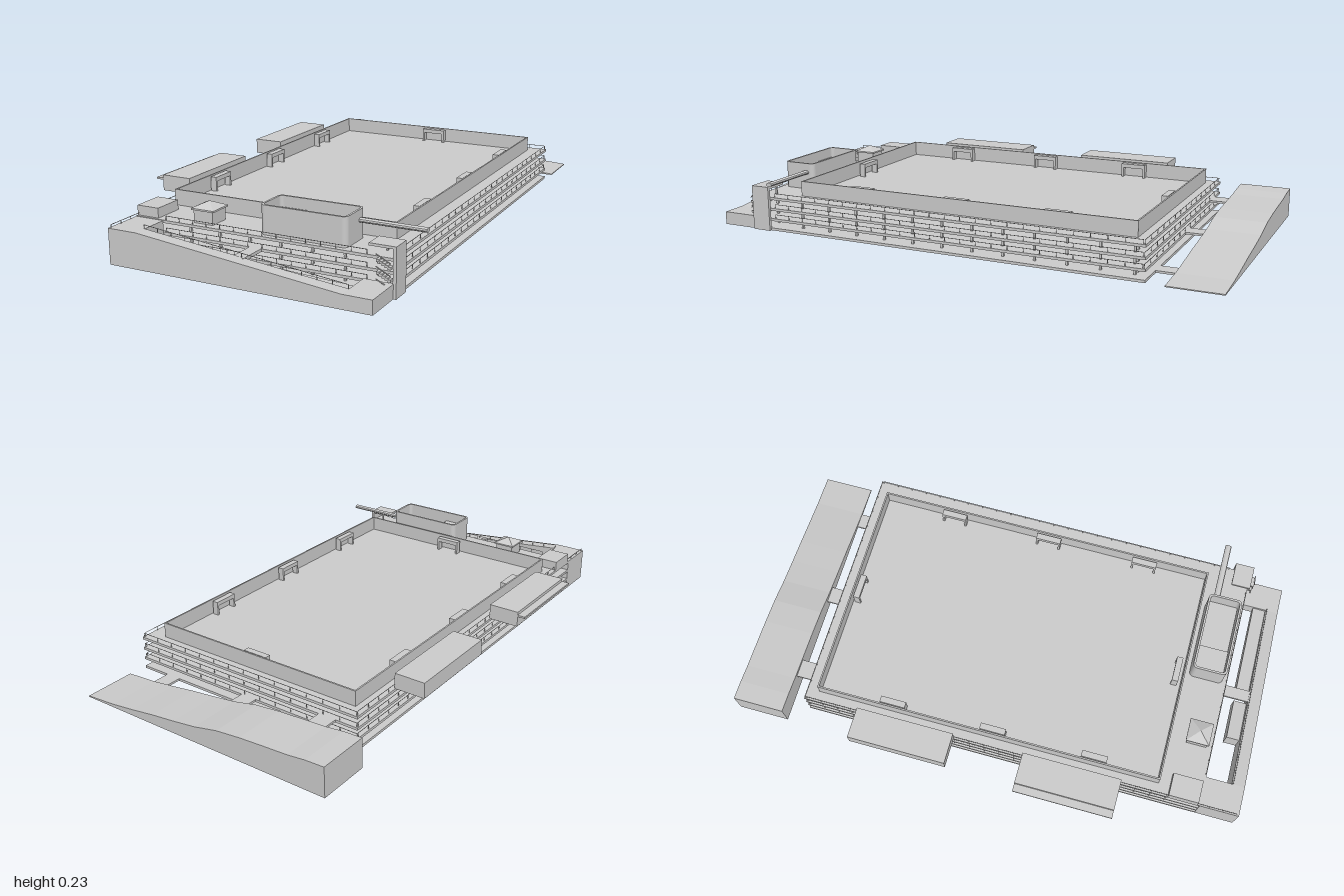
import * as THREE from 'three';

export function createModel() {
  const root = new THREE.Group();
  const mat = new THREE.MeshStandardMaterial({ color: 0xcccccc, flatShading: true, side: THREE.DoubleSide });

  function add(name, geo, parent = root) {
    const m = new THREE.Mesh(geo, mat);
    m.name = name;
    parent.add(m);
    return m;
  }
  // box given by its min and max on each axis
  function box(name, x0, x1, y0, y1, z0, z1, parent) {
    const m = add(name, new THREE.BoxGeometry(x1 - x0, y1 - y0, z1 - z0), parent);
    m.position.set((x0 + x1) / 2, (y0 + y1) / 2, (z0 + z1) / 2);
    return m;
  }
  // solid ground with a height profile along x
  function terrain(name, pts, z0, z1, y0 = 0) {
    const s = new THREE.Shape();
    s.moveTo(pts[0][0], y0);
    pts.forEach(p => s.lineTo(p[0], p[1]));
    s.lineTo(pts[pts.length - 1][0], y0);
    const m = add(name, new THREE.ExtrudeGeometry(s, { depth: z1 - z0, bevelEnabled: false }));
    m.position.z = z0;
    return m;
  }
  function bar(name, a, b, r, parent) {
    const p = new THREE.Vector3(...a), q = new THREE.Vector3(...b);
    const m = add(name, new THREE.CylinderGeometry(r, r, p.distanceTo(q), 5), parent);
    m.position.copy(p).add(q).multiplyScalar(0.5);
    m.quaternion.setFromUnitVectors(new THREE.Vector3(0, 1, 0), q.sub(p).normalize());
  }
  // handrail with evenly spaced posts
  function railing(a, b, n, h = 0.015) {
    const g = new THREE.Group();
    g.name = 'railing';
    root.add(g);
    bar('handrail', [a[0], a[1] + h, a[2]], [b[0], b[1] + h, b[2]], 0.0012, g);
    for (let i = 0; i <= n; i++) {
      const p = a.map((v, k) => v + (b[k] - v) * i / n);
      bar('railPost', p, [p[0], p[1] + h, p[2]], 0.0012, g);
    }
  }

  const X0 = -0.455, X1 = 0.535, Z0 = -0.73, Z1 = 0.85;
  const floors = [0.01, 0.048, 0.089, 0.132];

  // floor slabs and railings
  floors.forEach((y, i) => {
    box('floorSlab', X0, X1, y - 0.01, y, Z0, Z1);
    if (i === 0) return;
    railing([X1 - 0.005, y, Z0 + 0.01], [X1 - 0.005, y, 0.76], 24);
    railing([X0 + 0.005, y, Z0 + 0.01], [X0 + 0.005, y, 0.72], 24);
    railing([X0 + 0.005, y, Z0 + 0.005], [X1 - 0.005, y, Z0 + 0.005], 14);
    railing([-0.33, y, Z1 - 0.004], [0.44, y, Z1 - 0.004], 14);
  });

  // columns around the perimeter
  for (let i = 0; i < 12; i++) {
    const z = -0.68 + i * 0.122;
    for (const x of [-0.41, 0.49]) box('column', x - 0.004, x + 0.004, 0, 0.125, z - 0.004, z + 0.004);
  }
  for (let i = 0; i < 7; i++) {
    const x = -0.26 + i * 0.12;
    for (const z of [-0.68, 0.80]) box('column', x - 0.004, x + 0.004, 0, 0.125, z - 0.004, z + 0.004);
  }

  // walled sports court on the roof
  const court = new THREE.Group();
  court.name = 'courtWalls';
  root.add(court);
  box('sideWall', -0.412, -0.406, 0.13, 0.19, -0.68, 0.68, court);
  box('sideWall', 0.46, 0.466, 0.13, 0.19, -0.68, 0.68, court);
  for (const z of [-0.68, 0.674]) box('endWall', -0.41, 0.464, 0.13, 0.19, z, z + 0.006, court);

  // goals along the court walls
  function goal(x, z, angle) {
    const g = new THREE.Group();
    g.name = 'goal';
    g.position.set(x, 0.13, z);
    g.rotation.y = angle;
    root.add(g);
    box('goalTop', -0.05, 0.05, 0.04, 0.056, -0.012, 0.012, g);
    for (const s of [-0.046, 0.046]) box('goalPost', s - 0.004, s + 0.004, 0, 0.045, -0.012, 0.012, g);
  }
  for (const z of [-0.38, 0.02, 0.42]) {
    goal(-0.39, z, Math.PI / 2);
    goal(0.442, z, Math.PI / 2);
  }
  goal(0.035, -0.655, 0);
  goal(0.035, 0.648, 0);

  // boxes cantilevered off the right side
  box('sideRoom', -0.57, -0.45, 0.13, 0.19, -0.505, -0.12);
  box('sideRoom', -0.57, -0.45, 0.13, 0.19, 0.155, 0.54);
  box('sideCanopy', -0.60, -0.57, 0.171, 0.178, 0.155, 0.54);

  // small roof buildings
  box('cornerRoom', X0, -0.367, 0.13, 0.168, 0.725, 0.84);
  box('pavilionBody', -0.228, -0.152, 0.13, 0.18, 0.747, 0.825);
  box('pavilionEave', -0.235, -0.145, 0.178, 0.184, 0.74, 0.83);
  const roof = add('pavilionRoof', new THREE.ConeGeometry(0.0636, 0.021, 4));
  roof.rotation.y = Math.PI / 4;
  roof.position.set(-0.19, 0.1945, 0.785);

  // open tank with rounded corners
  function rounded(path, w, d, r) {
    path.absarc(w - r, d - r, r, 0, Math.PI / 2);
    path.absarc(r - w, d - r, r, Math.PI / 2, Math.PI);
    path.absarc(r - w, r - d, r, Math.PI, Math.PI * 1.5);
    path.absarc(w - r, r - d, r, Math.PI * 1.5, Math.PI * 2);
    path.closePath();
    return path;
  }
  const rim = rounded(new THREE.Shape(), 0.16, 0.066, 0.018);
  rim.holes.push(rounded(new THREE.Path(), 0.152, 0.058, 0.012));
  const tank = add('tankWall', new THREE.ExtrudeGeometry(rim, { depth: 0.105, bevelEnabled: false, curveSegments: 5 }));
  tank.rotation.x = -Math.PI / 2;
  tank.position.set(0.2, 0.13, 0.765);
  box('tankDeck', 0.05, 0.152, 0.13, 0.195, 0.708, 0.822);
  box('tankFloor', 0.152, 0.35, 0.13, 0.18, 0.708, 0.822);

  // long arm reaching past the left side
  const arm = add('arm', new THREE.CylinderGeometry(0.0125, 0.0125, 0.24, 10));
  arm.rotation.z = Math.PI / 2;
  arm.scale.x = 0.65;
  arm.position.set(0.478, 0.199, 0.732);

  // stair tower at the front left corner
  box('towerWall', 0.533, 0.545, 0, 0.17, 0.78, 0.855);
  box('towerRoof', 0.45, 0.545, 0.164, 0.173, 0.78, 0.855);
  box('towerPost', 0.48, 0.486, 0.13, 0.166, 0.783, 0.789);
  for (let i = 0; i < 3; i++) {
    for (let k = 0; k < 5; k++) {
      const x = 0.483 + k * 0.01, y = 0.13 - i * 0.041 - k * 0.005;
      box('stairStep', x, x + 0.011, y - 0.009, y, 0.852, 0.872);
    }
    bar('stairRail', [0.483, 0.147 - i * 0.041, 0.872], [0.533, 0.122 - i * 0.041, 0.872], 0.002);
  }

  // sloping front ground around the sunken court
  const slope = x => 0.13 - 0.08 * (x + 0.34) / 0.77;
  terrain('frontBank', [[X0, 0.13], [-0.34, 0.13], [0.43, 0.05], [X1, 0.05]], 0.95, 1);
  terrain('frontBankEnd', [[X0, 0.13], [-0.34, 0.13]], Z1, 0.95);
  terrain('frontBankEnd', [[0.43, 0.05], [X1, 0.05]], Z1, 0.95);
  terrain('frontTerrace', [[-0.15, slope(-0.15) - 0.03], [0.01, slope(0.01) - 0.03]], 0.9, 0.95);
  terrain('frontTerrace', [[0.055, slope(0.055) - 0.03], [0.43, slope(0.43) - 0.01]], 0.9, 0.95);
  box('frontBridge', 0.01, 0.055, 0.079, 0.09, Z1, 0.96);
  railing([-0.34, 0.13, 0.953], [0.43, 0.05, 0.953], 14);
  railing([X0 + 0.005, 0.13, 0.73], [X0 + 0.005, 0.13, 0.99], 5, 0.01);

  // undulating rear ground and its bridges
  terrain('rearBank', [[-0.525, 0.115], [-0.45, 0.112], [-0.38, 0.104], [-0.28, 0.099], [-0.18, 0.093],
    [-0.08, 0.083], [0.02, 0.062], [0.12, 0.049], [0.22, 0.038], [0.32, 0.024], [0.42, 0.012], [0.545, 0.004]], -1, -0.8);
  for (const [x0, x1, y] of [[-0.365, -0.295, 0.089], [-0.015, 0.05, 0.048], [0.36, 0.42, 0.01]]) {
    box('rearBridge', x0, x1, y - 0.008, y, -0.81, Z0);
  }
  return root;
}
